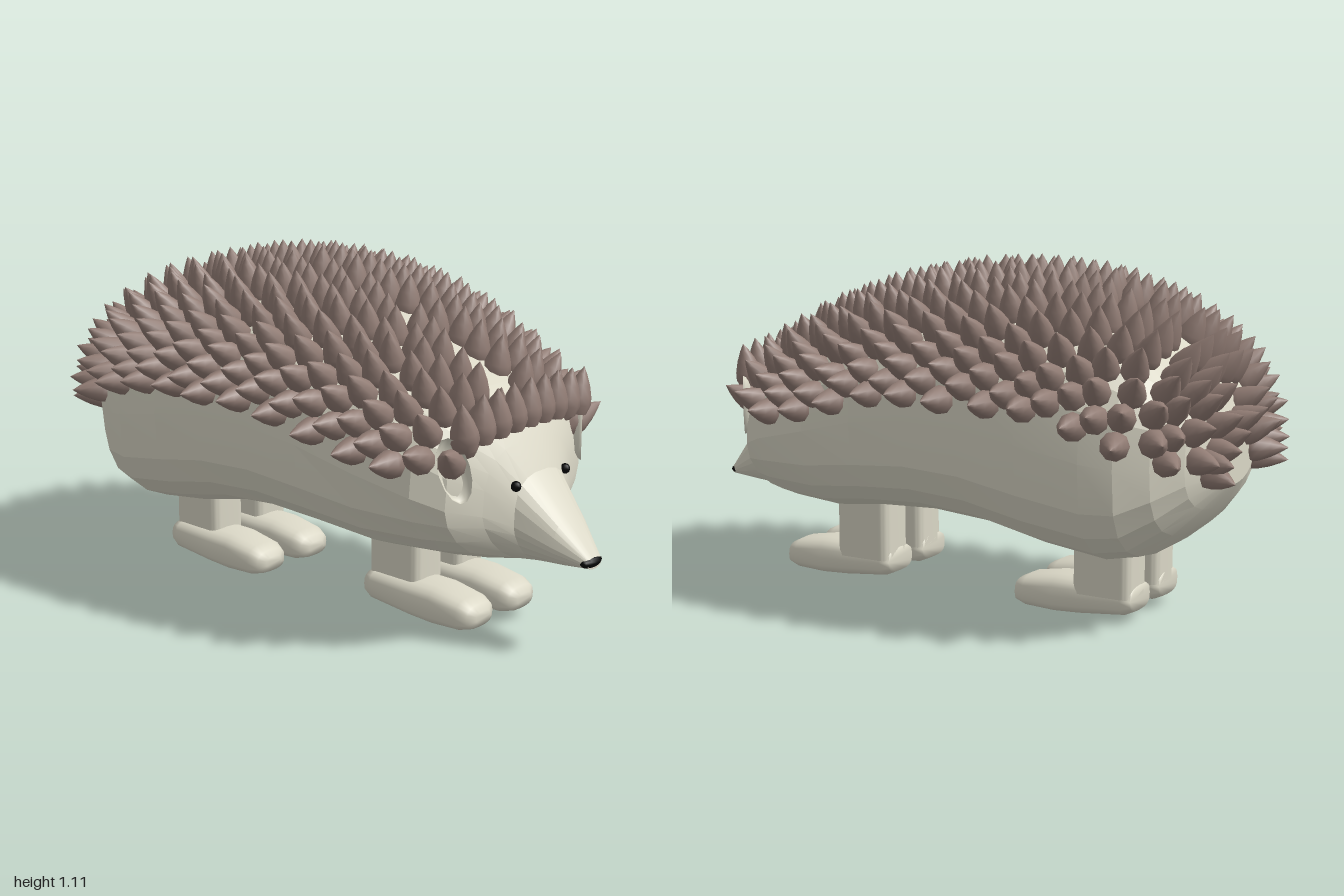
import * as THREE from 'three';
import { mergeGeometries, mergeVertices, toCreasedNormals } from 'three/addons/utils/BufferGeometryUtils.js';

const CX = 0.01; // the body sits slightly off the centre line

// Body cross-sections, nose to rump: [z, half width, bottom, top, squareness of underside]
const BODY = [
  [0.99, 0.035, 0.285, 0.32, 2], [0.9, 0.085, 0.275, 0.425, 1.7], [0.79, 0.133, 0.265, 0.55, 1.6],
  [0.74, 0.22, 0.26, 0.64, 1.6], [0.69, 0.335, 0.26, 0.71, 1.8], [0.6, 0.39, 0.26, 0.78, 2.1],
  [0.4, 0.43, 0.26, 0.88, 2.6], [0.2, 0.455, 0.29, 0.955, 3], [0, 0.47, 0.3, 0.995, 3],
  [-0.2, 0.48, 0.285, 1.005, 3], [-0.4, 0.478, 0.24, 0.99, 3], [-0.6, 0.455, 0.21, 0.935, 3],
  [-0.7, 0.43, 0.23, 0.885, 3], [-0.79, 0.37, 0.3, 0.82, 2.8], [-0.86, 0.28, 0.38, 0.73, 2.5],
  [-0.905, 0.14, 0.45, 0.61, 2.2],
];

// Foot cross-sections, toe to heel, z measured from the heel
const FOOT = [
  [0.425, 0.035, 0.05, 0.085, 3], [0.41, 0.065, 0.03, 0.105, 3], [0.375, 0.08, 0.02, 0.122, 3],
  [0.27, 0.086, 0.015, 0.14, 3], [0.18, 0.086, 0.02, 0.14, 3], [0.03, 0.084, 0.036, 0.14, 3],
  [0, 0.072, 0.05, 0.13, 3],
];

// Piecewise linear lookup in rows sorted by falling z
function sample(rows, z) {
  let i = 0;
  while (i < rows.length - 2 && z < rows[i + 1][0]) i++;
  const a = rows[i], b = rows[i + 1];
  const f = THREE.MathUtils.clamp((a[0] - z) / (a[0] - b[0]), 0, 1);
  return a.map((v, k) => v + (b[k] - v) * f);
}

// Point on a rounded-box outline
function outline([z, w, bottom, top, nBottom], t) {
  const c = Math.cos(t), s = Math.sin(t);
  const e = 2 / (s > 0 ? 2.8 : nBottom);
  const mid = bottom + (top - bottom) * 0.48;
  const h = s > 0 ? top - mid : mid - bottom;
  return new THREE.Vector3(
    Math.sign(c) * Math.abs(c) ** e * w, mid + Math.sign(s) * Math.abs(s) ** e * h, z);
}

// Closed skin through cross-sections that run from +z to -z
function loft(rows, sides) {
  const pos = [], index = [];
  for (const row of rows)
    for (let j = 0; j < sides; j++) pos.push(...outline(row, (j / sides) * Math.PI * 2).toArray());
  const last = (rows.length - 1) * sides;
  for (let j = 0; j < sides; j++) {
    const k = (j + 1) % sides;
    for (let i = 0; i < last; i += sides) {
      index.push(i + j, i + sides + j, i + k, i + k, i + sides + j, i + sides + k);
    }
    if (j > 0 && j < sides - 1) index.push(0, j, k, last, last + k, last + j);
  }
  const g = new THREE.BufferGeometry();
  g.setAttribute('position', new THREE.Float32BufferAttribute(pos, 3));
  g.setIndex(index);
  return g;
}

const onBody = (z, t) => outline(sample(BODY, z), t);

// Lowest spine in each row of the coat: [z, y]
const HEM = [[0.69, 0.62], [0.62, 0.59], [0.35, 0.645], [0.2, 0.69], [0, 0.72],
  [-0.4, 0.71], [-0.6, 0.665], [-0.8, 0.58], [-0.9, 0.5]];

// Pointed spines standing out of the back in slightly uneven staggered rows
function spineCoat() {
  const profile = [[0.036, 0], [0.045, 0.03], [0.042, 0.055], [0.03, 0.092], [0.014, 0.125], [0, 0.148]];
  const spine = new THREE.LatheGeometry(profile.map(([r, y]) => new THREE.Vector2(r, y)), 9);
  const up = new THREE.Vector3(0, 1, 0), one = new THREE.Vector3(1, 1, 1);
  let seed = 7;
  const jitter = (size) => {
    seed = (seed * 16807) % 2147483647;
    return (seed / 2147483647 - 0.5) * 2 * size;
  };
  const parts = [];
  const place = (p, n) => {
    const q = new THREE.Quaternion().setFromUnitVectors(up, n.normalize());
    p.addScaledVector(n, -0.04);
    parts.push(spine.clone().applyMatrix4(new THREE.Matrix4().compose(p, q, one)));
  };
  const plant = (row, angle) => {
    const z = Math.max(row + jitter(0.012), -0.904);
    const t = angle + jitter(0.015);
    const p = onBody(z, t);
    const du = onBody(z, t + 0.04).sub(onBody(z, t - 0.04));
    const dz = onBody(Math.max(z - 0.03, -0.904), t).sub(onBody(z + 0.03, t));
    const n = dz.cross(du).normalize();
    n.z *= z > 0 ? 0.3 : 0.75;
    place(p, n);
  };

  // Fringe over the forehead
  for (let x = -0.28; x < 0.29; x += 0.07) {
    place(new THREE.Vector3(x, 0.72 - 0.3 * x * x, 0.73 - 0.2 * x * x),
      new THREE.Vector3(x * 0.5 + jitter(0.1), 1, 0.08));
  }

  // Rows from the hem up to the ridge, on both flanks
  const zs = [];
  for (let z = 0.685; z > -0.74; z -= 0.07) zs.push(z);
  zs.push(-0.79, -0.83, -0.865, -0.892, -0.904);
  zs.forEach((z, row) => {
    const gap = 0.078, hem = sample(HEM, z)[1];
    let travelled = row % 2 ? gap / 2 : gap;
    let before = null;
    for (let t = -0.6; t < Math.PI / 2; t += 0.005) {
      const p = onBody(z, t);
      if (p.y < hem) continue;
      if (p.x < 0.035) break;
      if (before) travelled += p.distanceTo(before);
      before = p;
      if (travelled < gap) continue;
      travelled = 0;
      plant(z, t);
      plant(z, Math.PI - t);
    }
  });
  return mergeGeometries(parts);
}

export function createModel() {
  const fur = new THREE.MeshStandardMaterial({ color: 0xdad7c6, side: THREE.DoubleSide });
  fur.name = 'cream fur';
  const brown = new THREE.MeshStandardMaterial({ color: 0x917c74 });
  brown.name = 'brown spines';
  const black = new THREE.MeshStandardMaterial({ color: 0x060606 });
  black.name = 'black';

  const model = new THREE.Group();
  model.name = 'hedgehog';
  const add = (name, geometry, material, parent = model) => {
    const mesh = new THREE.Mesh(geometry, material);
    mesh.name = name;
    parent.add(mesh);
    return mesh;
  };

  const torso = new THREE.Group();
  torso.name = 'torso';
  torso.position.x = CX;
  model.add(torso);

  // Body and head in one faceted skin, with the spiny coat on it
  add('body', toCreasedNormals(loft(BODY, 22), 0.2), fur, torso);
  add('spines', spineCoat(), brown, torso);

  // Nose
  const nose = add('nose', new THREE.SphereGeometry(1, 12, 8), black, torso);
  nose.scale.set(0.048, 0.018, 0.022);
  nose.position.set(-0.002, 0.306, 0.978);

  for (const side of [-1, 1]) {
    const label = side > 0 ? 'left' : 'right';

    // Eyes
    const eye = add(label + 'Eye', new THREE.SphereGeometry(0.016, 10, 8), black, torso);
    eye.position.set(side * 0.123, 0.525, 0.787);

    // Ears: shallow dishes opening forwards and outwards
    const dish = new THREE.SphereGeometry(1, 14, 5, 0, Math.PI * 2, 0, Math.PI / 2);
    dish.rotateX(-Math.PI / 2).scale(0.048, 0.105, 0.03);
    const ear = add(label + 'Ear', dish, fur, torso);
    ear.position.set(side * 0.318, 0.6, 0.71);
    ear.rotation.set(0, side * 0.6, -side * 0.3);
  }

  // Legs and feet
  const leg = new THREE.Shape();
  const r = 0.03, w = 0.07, d = 0.1;
  leg.absarc(w - r, d - r, r, 0, Math.PI / 2);
  leg.absarc(r - w, d - r, r, Math.PI / 2, Math.PI);
  leg.absarc(r - w, r - d, r, Math.PI, Math.PI * 1.5);
  leg.absarc(w - r, r - d, r, Math.PI * 1.5, Math.PI * 2);
  const legGeometry = toCreasedNormals(
    new THREE.ExtrudeGeometry(leg, { depth: 0.25, bevelEnabled: false, curveSegments: 4 }).rotateX(-Math.PI / 2), 0.6);
  const footGeometry = mergeVertices(loft(FOOT, 20));
  footGeometry.computeVertexNormals();
  for (const [name, x, y, heel] of [['front', 0.035, 0.005, 0.23], ['back', -0.005, -0.015, -0.63]]) {
    for (const side of [-1, 1]) {
      const limb = new THREE.Group();
      limb.name = name + (side > 0 ? 'LeftLeg' : 'RightLeg');
      limb.position.set(x + side * 0.105, y, heel);
      add('leg', legGeometry, fur, limb).position.set(0, 0.095, 0.1);
      add('foot', footGeometry, fur, limb).position.x = -0.015;
      model.add(limb);
    }
  }
  return model;
}
